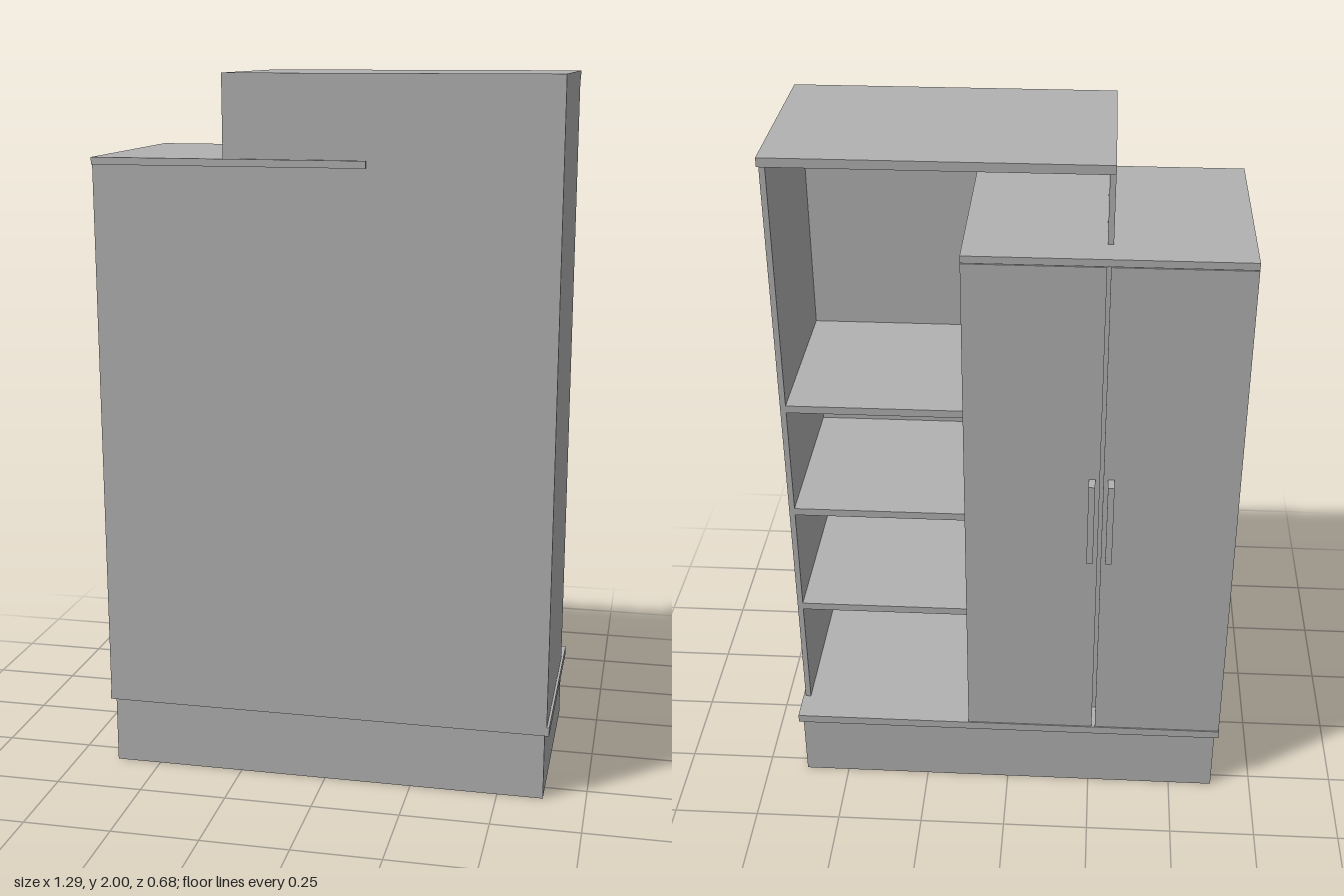
import * as THREE from 'three';

export function createModel() {
  const model = new THREE.Group();
  model.name = 'wardrobeWithBookcase';
  const grey = new THREE.MeshStandardMaterial({ color: 0xb2b2b2 });
  grey.name = 'plain grey';

  // box given by its limits on each axis
  const board = (parent, name, [x0, x1], [y0, y1], [z0, z1]) => {
    const mesh = new THREE.Mesh(new THREE.BoxGeometry(x1 - x0, y1 - y0, z1 - z0), grey);
    mesh.position.set((x0 + x1) / 2, (y0 + y1) / 2, (z0 + z1) / 2);
    mesh.name = name;
    parent.add(mesh);
  };
  const section = (name) => {
    const g = new THREE.Group();
    g.name = name;
    model.add(g);
    return g;
  };

  // plinth and the slightly wider floor board on it
  const base = section('base');
  board(base, 'plinth', [-0.63, 0.63], [0, 0.195], [-0.29, 0.32]);
  board(base, 'floorBoard', [-0.643, 0.643], [0.195, 0.22], [-0.298, 0.331]);

  // tall open bookcase
  const bookcase = section('bookcase');
  const depth = [-0.205, 0.315];
  board(bookcase, 'outerSide', [0.62, 0.636], [0.22, 1.975], depth);
  board(bookcase, 'innerSide', [-0.272, -0.256], [0.22, 1.975], depth);
  board(bookcase, 'backPanel', [-0.272, 0.636], [0.22, 1.975], [0.315, 0.331]);
  board(bookcase, 'topBoard', [-0.272, 0.636], [1.975, 2], [-0.232, 0.331]);
  for (const y of [0.582, 0.923, 1.265]) {
    board(bookcase, 'shelf', [0.119, 0.62], [y - 0.022, y], depth);
  }

  // lower cupboard
  const cupboard = section('cupboard');
  board(cupboard, 'outerSide', [-0.641, -0.625], [0.22, 1.755], [-0.282, 0.315]);
  board(cupboard, 'innerSide', [0.103, 0.119], [0.22, 1.755], [-0.282, 0.315]);
  board(cupboard, 'backPanel', [-0.641, -0.272], [0.22, 1.755], [0.315, 0.331]);
  board(cupboard, 'topBoard', [-0.641, 0.119], [1.755, 1.775], [-0.298, 0.34]);

  // doors with a narrow gap, and bar handles on two posts
  const mid = -0.261;
  board(cupboard, 'rightDoor', [-0.641, mid - 0.005], [0.223, 1.753], [-0.298, -0.282]);
  board(cupboard, 'leftDoor', [mid + 0.005, 0.119], [0.223, 1.753], [-0.298, -0.282]);
  for (const side of [-1, 1]) {
    const handle = section('handle');
    const x = mid + side * 0.0265;
    const width = [x - 0.009, x + 0.009];
    board(handle, 'bar', width, [0.86, 1.115], [-0.34, -0.326]);
    for (const y of [0.86, 1.099]) board(handle, 'post', width, [y, y + 0.016], [-0.326, -0.298]);
  }
  return model;
}
